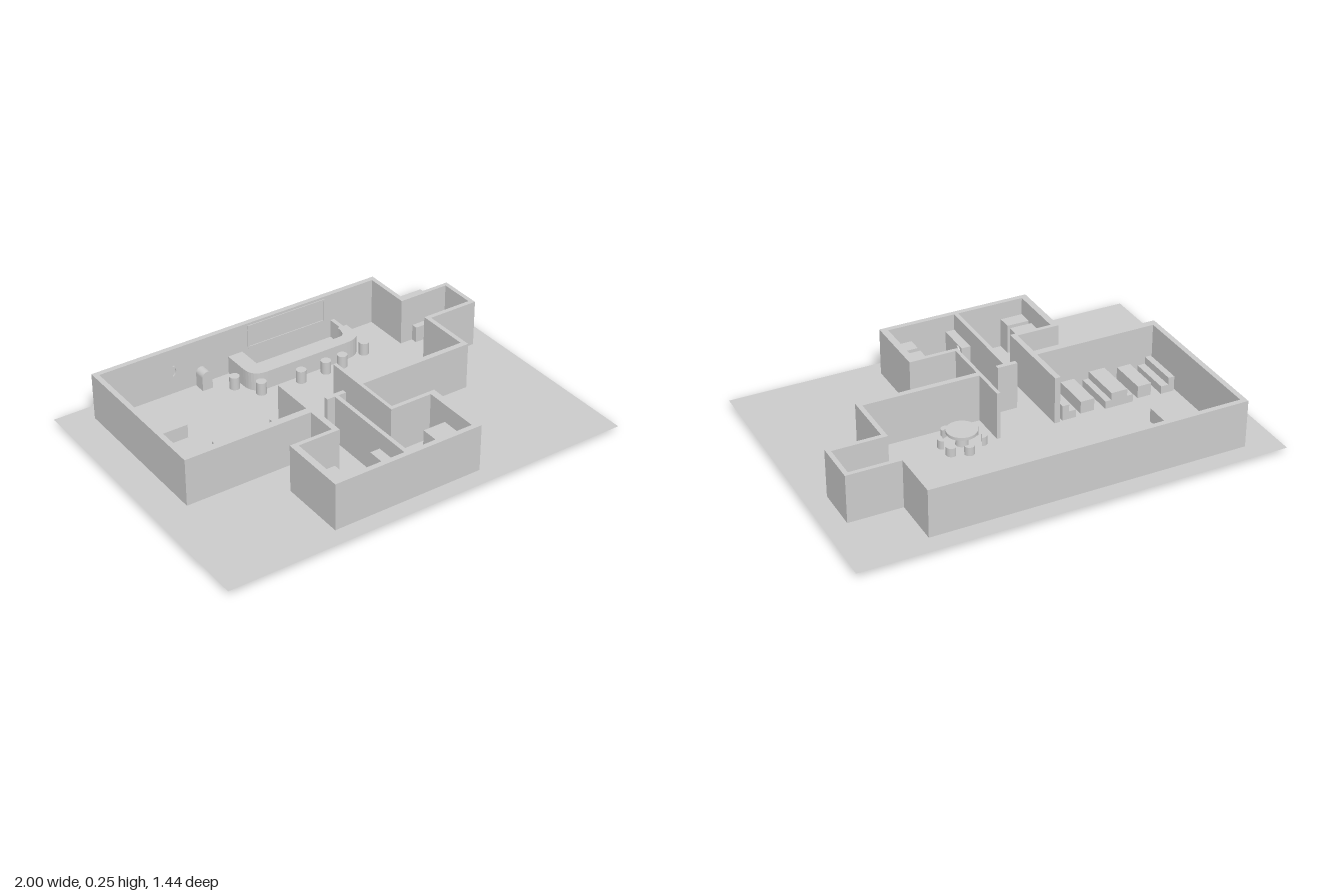
import * as THREE from 'three';

const FLOOR = 0.022, WALL_TOP = 0.25, BASE = 0.014;

export function createModel() {
  const root = new THREE.Group();
  const mat = new THREE.MeshStandardMaterial({ color: 0xcccccc });
  const thin = new THREE.MeshStandardMaterial({ color: 0xcccccc, side: THREE.DoubleSide });

  const add = (name, geo, x = 0, y = 0, z = 0, m = mat) => {
    const mesh = new THREE.Mesh(geo, m);
    mesh.name = name;
    mesh.position.set(x, y, z);
    root.add(mesh);
    return mesh;
  };
  // Box given by its limits on each axis
  const block = (name, x0, x1, z0, z1, top, bottom = BASE) =>
    add(name, new THREE.BoxGeometry(x1 - x0, top - bottom, z1 - z0),
      (x0 + x1) / 2, (top + bottom) / 2, (z0 + z1) / 2);
  // Plan outline (x, z) raised between two heights
  const prism = (name, shape, bottom, top) => {
    const g = new THREE.ExtrudeGeometry(shape, { depth: top - bottom, bevelEnabled: false, curveSegments: 8 });
    g.rotateX(Math.PI / 2);
    return add(name, g, 0, top, 0);
  };
  const points = list => list.map(([x, z]) => new THREE.Vector2(x, z));

  // Ground sheet
  add('ground', new THREE.PlaneGeometry(2, 1.44).rotateX(-Math.PI / 2), 0, FLOOR, 0, thin);

  // Outer walls, with the two corridor walls as spurs of the inner outline
  const walls = new THREE.Shape(points([
    [-0.845, -0.63], [0.647, -0.63], [0.647, -0.39], [0.898, -0.39], [0.898, -0.175],
    [0.647, -0.175], [0.647, 0.097], [0.077, 0.097], [0.077, 0.307], [0.3, 0.307],
    [0.3, 0.635], [-0.438, 0.635], [-0.438, 0.307], [-0.23, 0.307], [-0.23, 0.153], [-0.845, 0.153]]));
  walls.holes.push(new THREE.Path(points([
    [-0.82, -0.605], [0.625, -0.605], [0.625, -0.37], [0.877, -0.37], [0.877, -0.197],
    [0.625, -0.197], [0.625, 0.07], [0.077, 0.07], [0.077, -0.1], [0.06, -0.1],
    [0.06, 0.327], [0.267, 0.327], [0.267, 0.61], [-0.407, 0.61], [-0.407, 0.327],
    [-0.203, 0.327], [-0.203, -0.1], [-0.23, -0.1], [-0.23, 0.118], [-0.82, 0.118]])));
  prism('walls', walls, FLOOR, WALL_TOP);

  // T-shaped divider between the two small rooms
  block('dividerWall', -0.08, -0.06, 0.112, 0.615, WALL_TOP, FLOOR);
  block('dividerEnd', -0.118, -0.022, 0.09, 0.112, WALL_TOP, FLOOR);

  // Bar counter with rounded front corners
  const bar = new THREE.Shape();
  bar.moveTo(-0.17, -0.605);
  bar.lineTo(-0.17, -0.48);
  bar.quadraticCurveTo(-0.17, -0.4, -0.09, -0.4);
  bar.lineTo(0.34, -0.4);
  bar.quadraticCurveTo(0.428, -0.4, 0.428, -0.48);
  bar.lineTo(0.428, -0.53);
  bar.lineTo(0.41, -0.53);
  bar.lineTo(0.41, -0.605);
  bar.lineTo(0.39, -0.605);
  bar.lineTo(0.39, -0.53);
  bar.lineTo(0.378, -0.53);
  bar.quadraticCurveTo(0.378, -0.46, 0.34, -0.46);
  bar.lineTo(-0.095, -0.46);
  bar.lineTo(-0.095, -0.605);
  prism('barCounter', bar, FLOOR - 0.003, 0.112);

  // Bar stools
  for (const [x, z] of [[-0.21, -0.49], [-0.135, -0.385], [0.065, -0.365],
    [0.2, -0.365], [0.29, -0.365], [0.435, -0.4]])
    add('barStool', new THREE.CylinderGeometry(0.024, 0.024, 0.07, 20), x, BASE + 0.035, z);

  // Framed panel on the back wall
  const frame = new THREE.Shape(points([[-0.065, 0.12], [0.355, 0.12], [0.355, 0.238], [-0.065, 0.238]]));
  frame.holes.push(new THREE.Path(points([[-0.057, 0.128], [0.347, 0.128], [0.347, 0.23], [-0.057, 0.23]])));
  add('wallFrame', new THREE.ExtrudeGeometry(frame, { depth: 0.005, bevelEnabled: false }), 0, 0, -0.606);

  // Arch-topped music cabinet
  const arch = new THREE.Shape();
  arch.moveTo(-0.026, 0);
  arch.lineTo(0.026, 0);
  arch.lineTo(0.026, 0.075);
  arch.absarc(0, 0.075, 0.026, 0, Math.PI, false);
  add('musicCabinet', new THREE.ExtrudeGeometry(arch, { depth: 0.055, bevelEnabled: false }), -0.317, BASE, -0.6);

  // Large table near the left end
  block('gameTable', -0.72, -0.585, -0.49, -0.27, 0.088, 0);

  // Round table on a pedestal, ringed by half-round seats
  const tx = 0.228, tz = -0.065;
  add('roundTableTop', new THREE.CylinderGeometry(0.07, 0.07, 0.014, 40), tx, 0.088, tz);
  add('roundTablePedestal', new THREE.CylinderGeometry(0.025, 0.03, 0.07, 20), tx, 0.048, tz);
  for (const [x, z] of [[0.15, -0.1], [0.232, -0.147], [0.305, -0.12],
    [0.312, -0.05], [0.265, 0.015], [0.152, -0.018]]) {
    const half = new THREE.Shape();
    half.absarc(0, 0, 0.024, 0, Math.PI, false);
    const g = new THREE.ExtrudeGeometry(half, { depth: 0.05, bevelEnabled: false, curveSegments: 10 });
    g.rotateX(Math.PI / 2);
    const seat = add('roundTableSeat', g, x, BASE + 0.05, z);
    seat.rotation.y = Math.atan2(x - tx, z - tz);
  }

  // Booth benches with backs, and the tables between them
  const booth = (seat0, seat1, back0, back1) => {
    block('boothSeat', seat0, seat1, -0.095, 0.113, 0.06);
    block('boothBack', back0, back1, -0.095, 0.113, 0.095);
  };
  booth(-0.782, -0.745, -0.812, -0.782);
  booth(-0.6, -0.46, -0.57, -0.49);
  booth(-0.312, -0.278, -0.278, -0.245);
  for (const x of [-0.667, -0.378])
    block('boothTable', x - 0.034, x + 0.034, -0.08, 0.108, 0.082);

  // Small-room cabinets along the side walls and divider
  for (const [x0, x1] of [[-0.41, -0.298], [0.155, 0.27]]) {
    block('cabinet', x0, x1, 0.43, 0.515, 0.165, FLOOR);
    block('cabinet', x0, x1, 0.54, 0.612, 0.165, FLOOR);
  }
  block('middleCabinet', -0.128, -0.016, 0.44, 0.612, 0.17, FLOOR);

  // Counter in the side alcove
  block('alcoveShelf', 0.69, 0.878, -0.372, -0.34, 0.1);

  // Crescent wall ornaments
  const crescent = (x, z, turn) => {
    const s = new THREE.Shape();
    s.absarc(0, 0, 0.026, -Math.PI / 2, Math.PI / 2, false);
    s.quadraticCurveTo(0.03, 0, 0, -0.026);
    const g = new THREE.ExtrudeGeometry(s, { depth: 0.008, bevelEnabled: false });
    add('crescentOrnament', g, x, 0.14, z).rotation.y = turn;
  };
  crescent(-0.46, -0.605, 0);
  crescent(0.877, -0.265, -Math.PI / 2);
  crescent(-0.016, 0.48, Math.PI / 2);

  return root;
}
